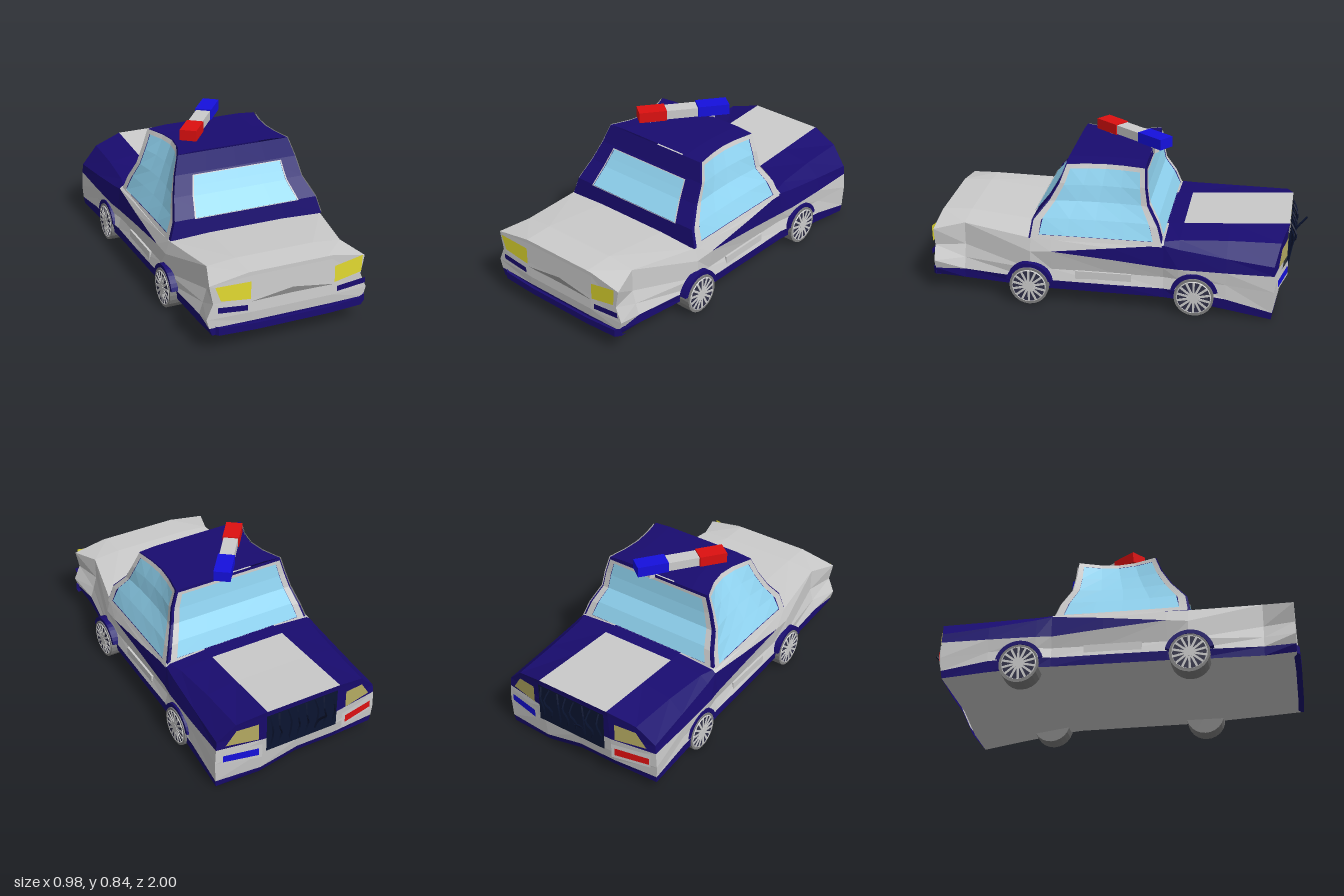
import * as THREE from 'three';

const NAVY = 0x190c70, GREY = 0xcccccc, GLASS = 0x93d8f6, DARK = 0x0a1430;
const V = (x, y, z) => new THREE.Vector3(x, y, z);
const mat = (color) => new THREE.MeshStandardMaterial({ color, flatShading: true, side: THREE.DoubleSide });

export function createModel() {
  const car = new THREE.Group();
  const add = (name, geo, color, parent = car) => {
    const m = new THREE.Mesh(geo, mat(color));
    m.name = name;
    parent.add(m);
    return m;
  };
  // Faceted sheet through rows of points
  const sheet = (name, rows, color) => {
    const pos = [], idx = [], n = rows[0].length;
    rows.flat().forEach((p) => pos.push(p.x, p.y, p.z));
    for (let i = 0; i < rows.length - 1; i++)
      for (let j = 0; j < n - 1; j++) {
        const a = i * n + j, b = a + n;
        idx.push(a, b, a + 1, b, b + 1, a + 1);
      }
    const g = new THREE.BufferGeometry();
    g.setAttribute('position', new THREE.Float32BufferAttribute(pos, 3));
    g.setIndex(idx);
    g.computeVertexNormals();
    add(name, g, color);
  };
  const box = (name, w, h, d, x, y, z, color, parent) =>
    add(name, new THREE.BoxGeometry(w, h, d), color, parent).position.set(x, y, z);

  // Body stations: z, heights and half widths at bottom, skirt, sill, mid, wedge, belt, crown
  const stations = [
    [0.98, [0.1, 0.14, 0.19, 0.27, 0.27, 0.37, 0.405], [0.41, 0.425, 0.44, 0.405, 0.405, 0.425, 0.215]],
    [0.82, [0.09, 0.14, 0.2, 0.27, 0.27, 0.395, 0.41], [0.41, 0.41, 0.39, 0.37, 0.37, 0.37, 0.215]],
    [0.44, [0.09, 0.14, 0.2, 0.3, 0.3, 0.37, 0.38], [0.44, 0.45, 0.455, 0.455, 0.455, 0.435, 0.215]],
    [0.33, [0.09, 0.14, 0.2, 0.31, 0.31, 0.37, 0.38], [0.45, 0.455, 0.44, 0.46, 0.46, 0.44, 0.215]],
    [0, [0.09, 0.14, 0.2, 0.285, 0.35, 0.38, 0.385], [0.455, 0.46, 0.44, 0.46, 0.455, 0.44, 0.215]],
    [-0.27, [0.09, 0.14, 0.2, 0.26, 0.38, 0.395, 0.41], [0.46, 0.46, 0.445, 0.46, 0.445, 0.425, 0.215]],
    [-0.35, [0.085, 0.14, 0.2, 0.26, 0.365, 0.4, 0.415], [0.465, 0.475, 0.46, 0.47, 0.45, 0.405, 0.215]],
    [-0.6, [0.05, 0.11, 0.19, 0.26, 0.335, 0.405, 0.43], [0.47, 0.475, 0.47, 0.475, 0.46, 0.385, 0.215]],
    [-0.84, [0.01, 0.05, 0.17, 0.26, 0.31, 0.405, 0.45], [0.47, 0.475, 0.48, 0.475, 0.47, 0.375, 0.215]],
  ];
  const section = ([z, ys, ws], s) => ys.map((y, i) => V(
    s * ws[i] - (z > 0.8 ? 0.021 : 0),
    y + (s < 0 && z < -0.3 && i < 2 ? (-0.3 - z) * 0.09 : 0),
    z - (z < -0.8 ? [0, 0.005, 0.01, 0.01, 0.008, 0.035, 0.07][i] : 0)));
  const sides = { 1: stations.map((r) => section(r, 1)), [-1]: stations.map((r) => section(r, -1)) };
  for (const s of [1, -1]) {
    const band = (name, k0, k1, l, color) =>
      sheet(name, sides[s].slice(k0, k1 + 1).map((p) => [p[l], p[l + 1]]), color);
    band('skirt', 0, 8, 0, NAVY);
    band('sill', 0, 8, 1, GREY);
    band('lowerSide', 0, 8, 2, GREY);
    band('sideWedge', 2, 8, 3, NAVY);
    band('upperSideGrey', 0, 5, 4, GREY);
    band('upperSideBlue', 5, 8, 4, NAVY);
    band('deckEdge', 0, 5, 5, GREY);
    band('hoodSide', 5, 8, 5, NAVY);
    box('doorPanel', 0.012, 0.045, 0.3, s * 0.447, 0.18, 0.05, GREY);
  }
  const across = (l, k0, k1, columns) => stations.slice(k0, k1 + 1).map((_, i) =>
    columns(sides[-1][k0 + i][l], sides[1][k0 + i][l]));
  const straight = (a, b) => [a, b];
  sheet('underside', across(0, 0, 8, (a, b) => [a, V(0, a.y, a.z), V(0.23, b.y, b.z), b]), GREY);
  sheet('rearDeck', across(6, 0, 2, straight), GREY);
  sheet('cowl', across(6, 2, 6, straight), NAVY);
  sheet('hoodStripe', across(6, 6, 8, straight), GREY);

  // End panels, one band per level
  const endPanel = (name, k, zs, beltY, colors) => {
    const row = (l) => {
      const a = sides[-1][k][l], b = sides[1][k][l];
      const ya = l === 5 ? beltY : a.y, yb = l === 5 ? beltY : b.y;
      return [a, V(-0.22, ya, zs[l]), V(0, ya, zs[l]), V(0.22, yb, zs[l]), b];
    };
    colors.forEach((c, l) => sheet(name, [row(l), row(l + 1)], c));
  };
  endPanel('tailPanel', 0, [0.985, 0.985, 0.99, 0.985, 0.985, 0.98, 0.98], 0.385, [NAVY, GREY, GREY, GREY, GREY, GREY]);
  endPanel('nosePanel', 8, [-0.85, -0.865, -0.88, -0.89, -0.895, -0.905, -0.91], 0.42, [NAVY, GREY, GREY, NAVY, NAVY, NAVY]);
  // Swept rear bumper, corners turned up
  sheet('rearBumper', [[-0.42, 0.1, 0.15, 0.975], [-0.4, 0.1, 0.14, 0.995], [-0.2, 0.094, 0.13, 1],
    [0.2, 0.094, 0.13, 1], [0.385, 0.1, 0.14, 0.995], [0.415, 0.11, 0.155, 0.975]]
    .map(([x, lo, hi, z]) => [V(x, lo, z - 0.03), V(x, lo, z), V(x, hi, z), V(x, hi, z - 0.03)]), NAVY);

  // Flat lamps: corners listed as [x, y] around the outline
  const lamp = (name, c, z, color) => {
    const p = c.map(([x, y]) => V(x, y, z(x)));
    sheet(name, [[p[0], p[1]], [p[3], p[2]]], color);
  };
  const tailZ = () => 0.993;
  const noseZ = (x) => -0.914 + Math.max(0, Math.abs(x) - 0.22) * 0.22;
  lamp('tailLamp', [[-0.42, 0.365], [-0.23, 0.36], [-0.23, 0.265], [-0.39, 0.285]], tailZ, 0xe2da30);
  lamp('tailLamp', [[0.385, 0.38], [0.23, 0.35], [0.23, 0.26], [0.38, 0.29]], tailZ, 0xe2da30);
  lamp('tailCrease', [[-0.23, 0.25], [0, 0.284], [0.23, 0.25], [0, 0.254]], tailZ, 0x888888);
  for (const s of [1, -1]) {
    const m = (c) => c.map(([x, y]) => [s * x, y]);
    lamp('tailSlot', m([[0.405, 0.252], [0.245, 0.235], [0.245, 0.205], [0.405, 0.222]]), tailZ, NAVY);
    lamp('headlight', m([[0.26, 0.385], [0.375, 0.37], [0.43, 0.285], [0.26, 0.285]]), noseZ, 0xb5ab62);
    lamp('signalTrim', m([[0.24, 0.25], [0.45, 0.25], [0.45, 0.165], [0.24, 0.165]]), noseZ, GREY);
    lamp('signal', m([[0.26, 0.23], [0.445, 0.225], [0.445, 0.185], [0.26, 0.185]]),
      (x) => noseZ(x) - 0.004, s > 0 ? 0x1510dd : 0xdd1010);
  }
  lamp('grille', [[-0.2, 0.425], [0.22, 0.425], [0.22, 0.2], [-0.2, 0.2]], noseZ, DARK);

  // Bent grille bars with one long prong
  for (let i = 0; i < 8; i++) {
    const x = -0.17 + i * 0.053, k = Math.sin(i * 2.3);
    const pts = [V(x, 0.42, -0.915), V(x + 0.015 * k, 0.36, -0.935 - 0.01 * k),
      V(x - 0.015, 0.29, -0.92), V(x + 0.01 * k, 0.2, -0.905)];
    add('grilleBar', new THREE.TubeGeometry(new THREE.CatmullRomCurve3(pts), 8, 0.006, 4), DARK);
  }
  const prong = new THREE.CatmullRomCurve3([V(-0.07, 0.23, -0.91), V(-0.075, 0.3, -0.94), V(-0.08, 0.365, -0.995)]);
  add('grilleProng', new THREE.TubeGeometry(prong, 6, 0.006, 4), DARK);

  // Cabin: five evenly spaced levels from belt to roof
  const pick = (a, v) => {
    const t = Math.min(Math.max(v, 0), 1) * 4, i = Math.min(3, Math.floor(t));
    return THREE.MathUtils.lerp(a[i], a[i + 1], t - i);
  };
  const wide = { 1: [0.44, 0.41, 0.365, 0.35, 0.32], [-1]: [0.43, 0.4, 0.37, 0.34, 0.31] };
  const zBack = [0.45, 0.435, 0.355, 0.3, 0.265], zFront = [-0.265, -0.235, -0.175, -0.16, -0.155];
  const yAt = (v) => 0.372 + 0.386 * v;
  const sideFace = (s) => (u, v, off) => V(
    s * (pick(wide[s], v) - (s > 0 ? 0.03 : 0.06) * v * Math.sin(Math.PI * u) + off), yAt(v),
    THREE.MathUtils.lerp(pick(zBack, v), pick(zFront, v), u));
  const endFace = (zs, d) => (u, v, off) => V(
    THREE.MathUtils.lerp(-pick(wide[-1], v), pick(wide[1], v), u), yAt(v) + off * 0.4, pick(zs, v) + d * off);
  const patch = (name, F, [u0, u1, v0, v1], off, color) => {
    const rows = [];
    for (let i = 0; i <= 4; i++) {
      const row = [];
      for (let j = 0; j <= 4; j++) row.push(F(u0 + (u1 - u0) * j / 4, v0 + (v1 - v0) * i / 4, off));
      rows.push(row);
    }
    sheet(name, rows, color);
  };
  // Each face: glass limits in u and v, then trim width
  const faces = [
    ['sideWindow', sideFace(1), [0.075, 0.935, 0.06, 0.94], 0.06],
    ['sideWindow', sideFace(-1), [0.075, 0.935, 0.06, 0.94], 0.06],
    ['windshield', endFace(zFront, -1), [0.06, 0.94, 0.09, 0.92], 0.045],
    ['rearWindow', endFace(zBack, 1), [0.145, 0.86, 0.25, 0.72], 0.01],
  ];
  for (const [name, F, [a, b, c, d], t] of faces) {
    patch('cabinShell', F, [0, 1, 0, 1], 0, NAVY);
    patch(name, F, [a, b, c, d], 0.005, GLASS);
    for (const r of [[a - t, a, c - t, d + t], [b, b + t, c - t, d + t], [a, b, c - t, c], [a, b, d, d + t]])
      patch(name + 'Trim', F, r, 0.008, GREY);
  }
  const roof = [];
  for (let i = 0; i <= 4; i++) {
    const l = sideFace(-1)(i / 4, 1, 0), r = sideFace(1)(i / 4, 1, 0);
    roof.push([0, 0.15, 0.5, 0.85, 1].map((t) => {
      const p = l.clone().lerp(r, t);
      if (t > 0 && t < 1) p.y += 0.008;
      return p;
    }));
  }
  sheet('roof', roof, NAVY);

  // Roof light bar, set askew
  const bar = new THREE.Group();
  bar.name = 'lightBar';
  bar.position.set(-0.058, 0.812, -0.038);
  bar.rotation.y = -0.655;
  car.add(bar);
  box('redLight', 0.09, 0.058, 0.15, 0, 0, 0.172, 0xdd1010, bar);
  box('barCentre', 0.078, 0.05, 0.17, 0, 0, 0.01, GREY, bar);
  box('blueLight', 0.09, 0.058, 0.17, 0, 0.003, -0.162, 0x1510dd, bar);
  for (const z of [0.17, -0.16]) box('barPost', 0.03, 0.05, 0.03, 0, -0.045, z, GREY, bar);

  // Wheels with spokes, and arches above them
  for (const s of [1, -1])
    for (const z of [0.445, -0.435]) {
      const wheel = new THREE.Group();
      wheel.name = 'wheel';
      wheel.position.set(s > 0 ? 0.437 : -0.428, 0.113, z);
      wheel.rotation.y = s > 0 ? 0 : Math.PI;
      car.add(wheel);
      const disc = (name, r, w, x, color) => {
        add(name, new THREE.CylinderGeometry(r, r, w, 24).rotateZ(Math.PI / 2), color, wheel).position.x = x;
      };
      disc('tyre', 0.105, 0.1, 0, 0x808080);
      disc('rimBack', 0.088, 0.004, 0.05, 0x303048);
      disc('hub', 0.022, 0.012, 0.05, GREY);
      add('rimEdge', new THREE.TorusGeometry(0.089, 0.005, 4, 24).rotateY(Math.PI / 2), GREY, wheel)
        .position.x = 0.049;
      for (let i = 0; i < 14; i++) {
        const spoke = new THREE.BoxGeometry(0.008, 0.072, 0.012).translate(0.051, 0.052, 0);
        add('spoke', spoke.rotateX(i * Math.PI / 7), GREY, wheel);
      }
      const arch = new THREE.Shape();
      arch.absarc(0, 0, 0.128, 0.25, Math.PI - 0.25, false);
      arch.absarc(0, 0, 0.107, Math.PI - 0.25, 0.25, true);
      const g = new THREE.ExtrudeGeometry(arch, { depth: 0.04, bevelEnabled: false, curveSegments: 8 });
      add('wheelArch', g.rotateY(Math.PI / 2), NAVY).position.set(s > 0 ? 0.442 : -0.476, 0.113, z);
    }
  return car;
}
